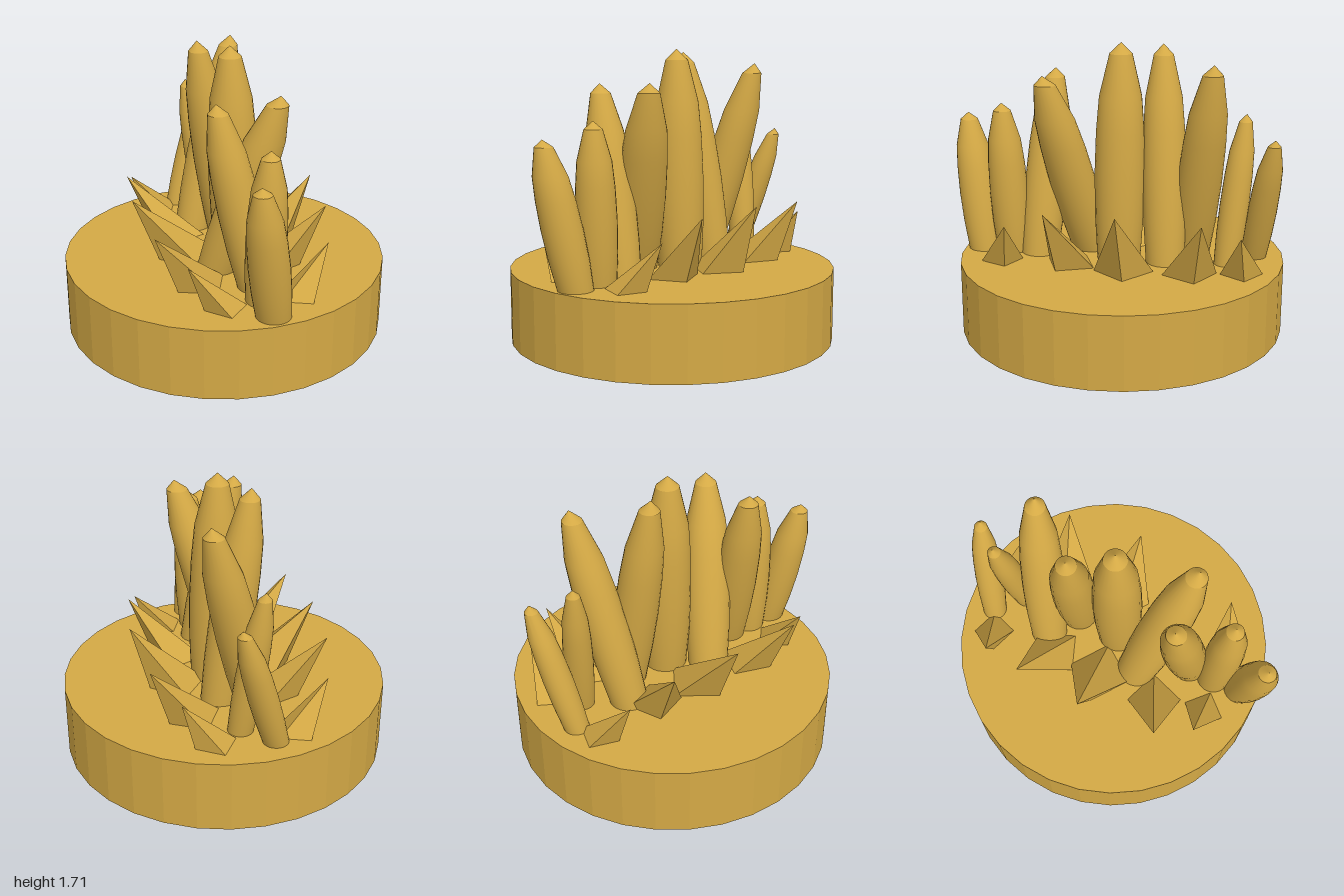
import * as THREE from 'three';
import { toCreasedNormals } from 'three/addons/utils/BufferGeometryUtils.js';

const TOP = 0.43; // height of the base disc
const gold = new THREE.MeshStandardMaterial({ color: 0xd4a945 });
gold.name = 'gold';

// Slide every horizontal section of a geometry along a straight lean
function lean(geometry, height, dx, dz) {
  const p = geometry.attributes.position;
  for (let i = 0; i < p.count; i++) {
    const t = p.getY(i) / height;
    p.setX(i, p.getX(i) + dx * t);
    p.setZ(i, p.getZ(i) + dz * t);
  }
  return geometry;
}

// Round, swelling column with a short conical tip
function makeColumn([bx, bz, tx, tz, tipY, radius]) {
  const h = tipY - TOP;
  const profile = [
    [0, -0.03], [0.84, -0.03], [0.87, 0], [0.97, 0.2], [1, 0.4],
    [0.95, 0.6], [0.84, 0.76], [0.45, 0.95], [0, 1],
  ].map(([r, t]) => new THREE.Vector2(r * radius, t * h));
  const geometry = lean(new THREE.LatheGeometry(profile, 24), h, tx - bx, tz - bz);
  const mesh = new THREE.Mesh(toCreasedNormals(geometry, 0.4), gold);
  mesh.position.set(bx, TOP, bz);
  mesh.name = 'column';
  return mesh;
}

// Four-sided spike whose tip overhangs its base; (ex, ez) points to one base corner
function makeSpike([cx, cz, ex, ez, tx, tz, tipY]) {
  const h = tipY - TOP;
  const geometry = new THREE.ConeGeometry(Math.hypot(ex, ez), h, 4)
    .rotateY(Math.atan2(ex, ez))
    .translate(0, h / 2, 0);
  const flat = lean(geometry, h, tx - cx, tz - cz).toNonIndexed();
  flat.computeVertexNormals();
  const mesh = new THREE.Mesh(flat, gold);
  mesh.position.set(cx, TOP, cz);
  mesh.name = 'spike';
  return mesh;
}

export function createModel() {
  const model = new THREE.Group();
  model.name = 'spikedCrest';

  // Base disc
  const disc = new THREE.Mesh(
    toCreasedNormals(new THREE.CylinderGeometry(0.965, 0.965, TOP, 32), 0.1), gold);
  disc.position.set(0, TOP / 2, -0.035);
  disc.name = 'baseDisc';
  model.add(disc);

  // Row of columns, front to back: base x, base z, tip x, tip z, tip height, radius
  const columns = new THREE.Group();
  columns.name = 'columns';
  [
    [0.035, 0.81, -0.08, 0.93, 1.245, 0.115],
    [0.035, 0.63, 0.05, 0.68, 1.335, 0.115],
    [0.05, 0.46, -0.17, 0.4, 1.52, 0.128],
    [-0.1, 0.17, 0.2, 0.39, 1.53, 0.14],
    [0.07, -0.03, 0.035, -0.035, 1.71, 0.148],
    [0.09, -0.31, -0.1, -0.26, 1.69, 0.13],
    [-0.09, -0.44, 0.2, -0.585, 1.62, 0.13],
    [0.06, -0.67, -0.05, -0.755, 1.305, 0.085],
    [-0.1, -0.82, 0.12, -0.93, 1.195, 0.085],
  ].forEach((c) => columns.add(makeColumn(c)));
  model.add(columns);

  // Spikes: base centre x, z, corner offset x, z, tip x, z, tip height
  const spikeRows = {
    leftSpikes: [
      [0.225, -0.77, 0.025, 0.12, 0.41, -0.775, 0.7],
      [0.28, -0.478, 0.045, 0.152, 0.54, -0.57, 0.8],
      [0.3, -0.1, 0.022, 0.17, 0.574, -0.1, 0.83],
      [0.23, 0.225, -0.06, 0.147, 0.515, 0.32, 0.81],
      [0.245, 0.64, 0.045, 0.113, 0.44, 0.565, 0.7],
    ],
    rightSpikes: [
      [-0.24, -0.757, 0.05, 0.112, -0.436, -0.685, 0.7],
      [-0.21, -0.34, -0.07, 0.145, -0.51, -0.435, 0.81],
      [-0.223, -0.03, 0.022, 0.188, -0.563, -0.016, 0.83],
      [-0.25, 0.35, 0.065, 0.15, -0.535, 0.455, 0.8],
      [-0.19, 0.655, 0, 0.122, -0.4, 0.655, 0.7],
    ],
  };
  for (const [name, row] of Object.entries(spikeRows)) {
    const group = new THREE.Group();
    group.name = name;
    row.forEach((s) => group.add(makeSpike(s)));
    model.add(group);
  }
  return model;
}
